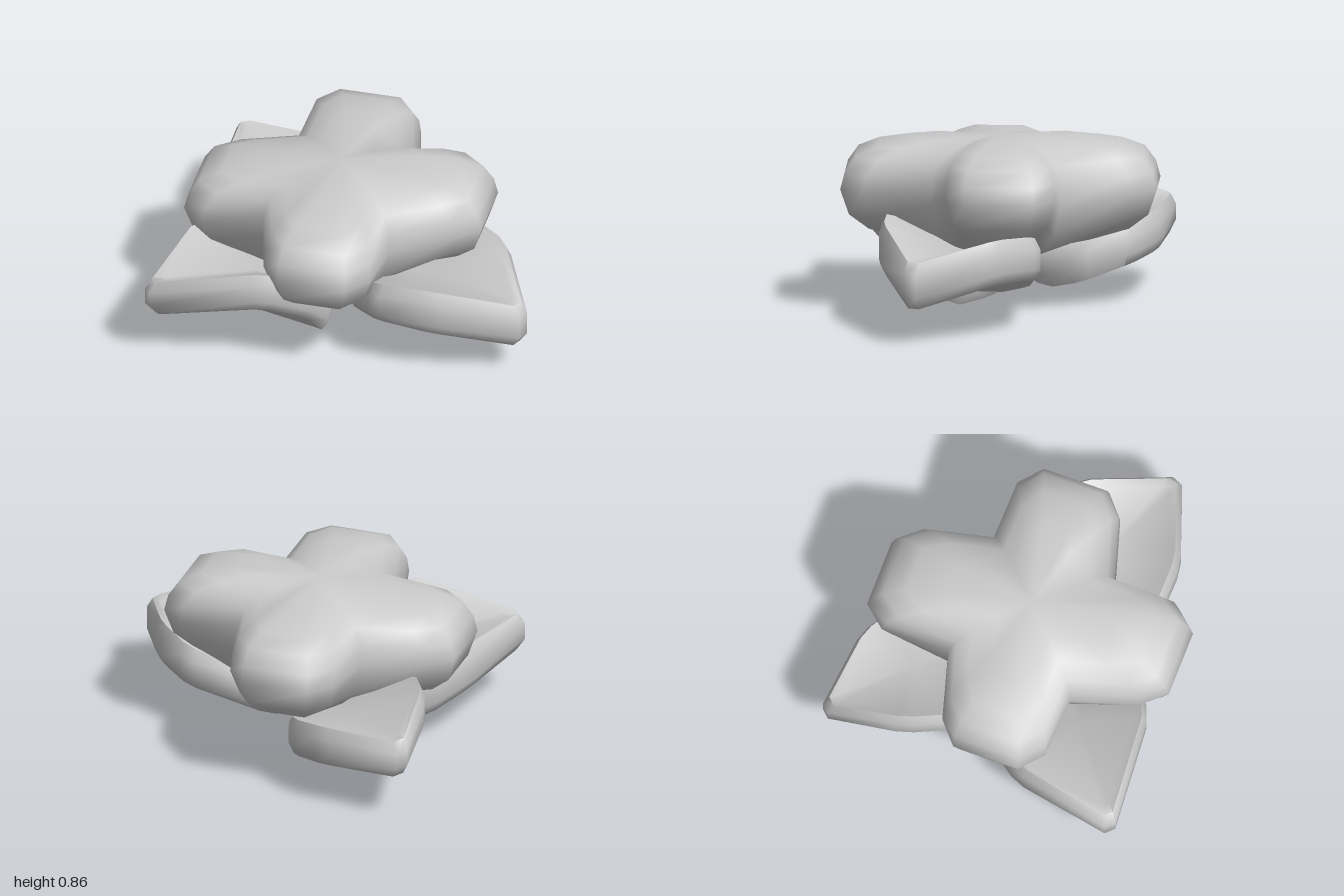
import * as THREE from 'three';
import { toCreasedNormals } from 'three/addons/utils/BufferGeometryUtils.js';

const material = new THREE.MeshStandardMaterial({ color: 0xcccccc });

// Closed solid skinned over stacked rings of [x, y, z], capped at two centres.
function loft(name, rings, bottom, top, crease) {
  const n = rings[0].length, last = (rings.length - 1) * n;
  const points = [...rings.flat(), bottom, top];
  const b = points.length - 2, t = points.length - 1, index = [];
  for (let j = 0; j < n; j++) {
    const k = (j + 1) % n;
    for (let r = 0; r < last; r += n) {
      index.push(r + j, r + n + j, r + k, r + k, r + n + j, r + n + k);
    }
    index.push(b, j, k, t, last + k, last + j);
  }
  const geometry = new THREE.BufferGeometry();
  geometry.setAttribute('position', new THREE.Float32BufferAttribute(points.flat(), 3));
  geometry.setIndex(index);
  const mesh = new THREE.Mesh(toCreasedNormals(geometry, crease), material);
  mesh.name = name;
  return mesh;
}

// Cuts each corner of an outline of [x, z, yBottom, yTop].
function chamfer(outline, size) {
  const n = outline.length;
  return outline.flatMap((p, i) => [outline[(i + n - 1) % n], outline[(i + 1) % n]].map((q) => {
    const f = size / Math.hypot(q[0] - p[0], q[1] - p[1]);
    return p.map((v, c) => v + (q[c] - v) * f);
  }));
}

// Thick cupped leaf with rounded rims; centre is [x, z, yBottom, yTop].
function leaf(name, outline, centre) {
  const edge = chamfer(outline, 0.045);
  const ring = (scale, y) => edge.map((p) => [
    centre[0] + (p[0] - centre[0]) * scale, y(p), centre[1] + (p[1] - centre[1]) * scale,
  ]);
  const rings = [
    ring(0.82, (p) => p[2] * 0.88 + centre[2] * 0.12),
    ring(0.92, (p) => p[2]),
    ring(1, (p) => p[2] + 0.055),
    ring(1, (p) => p[3] - 0.055),
    ring(0.93, (p) => p[3]),
    ring(0.83, (p) => p[3] * 0.88 + centre[3] * 0.12),
  ];
  return loft(name, rings, [centre[0], centre[2], centre[1]], [centre[0], centre[3], centre[1]], 1.15);
}

// Four-lobed bloom: cross-shaped rings, wide at the middle and tapering to a low centre.
function bloom() {
  const cx = 0.1, cz = -0.055, turn = -0.4;
  const lift = [0, 0.03, 0, -0.03]; // right, front, left, back lobes
  const stretch = [1.04, 0.98, 1.02, 0.99];
  // half width, lobe length, lobe height, height in the notch between lobes
  const levels = [
    [0.14, 0.42, 0.34, 0.26],
    [0.21, 0.6, 0.4, 0.3],
    [0.27, 0.69, 0.475, 0.38],
    [0.31, 0.73, 0.6, 0.55],
    [0.305, 0.71, 0.68, 0.66],
    [0.28, 0.66, 0.755, 0.74],
    [0.22, 0.56, 0.8, 0.785],
    [0.13, 0.4, 0.83, 0.82],
  ];
  const rings = levels.map(([w, len, y, notch]) => lift.flatMap((dy, i) => {
    const a = turn + i * Math.PI / 2, c = Math.cos(a), s = Math.sin(a);
    const tip = len * stretch[i], shoulder = tip - 0.11, skew = -0.05 * len;
    const lobe = [[w, -w, notch], [shoulder, skew - w * 0.84, y + dy], [tip, skew - w * 0.53, y + dy],
      [tip, skew + w * 0.53, y + dy], [shoulder, skew + w * 0.84, y + dy]];
    return lobe.map(([u, v, h]) => [cx + u * c - v * s, h, cz + u * s + v * c]);
  }));
  return loft('bloom', rings, [cx, 0.24, cz], [cx, 0.84, cz], 1.8);
}

export function createModel() {
  const group = new THREE.Group();
  group.name = 'flower';
  group.add(
    bloom(),
    leaf('frontLeaf', [
      [0.55, 0.41, 0.25, 0.46], [0.46, 0.67, 0.26, 0.48], [0.14, 1.03, 0.165, 0.39],
      [-0.18, 0.68, 0.27, 0.51], [-0.29, 0.41, 0.3, 0.51], [-0.03, 0.06, 0.12, 0.31],
      [0.13, 0.01, 0.085, 0.27], [0.34, 0.04, 0.14, 0.32],
    ], [0.14, 0.5, 0.18, 0.37]),
    leaf('leftLeaf', [
      [0.07, -0.29, 0.06, 0.26], [0.08, -0.07, 0.04, 0.23], [-0.1, 0.03, -0.01, 0.19],
      [-0.39, 0.13, 0.25, 0.46], [-0.61, 0.01, 0.37, 0.57], [-0.87, -0.52, 0.265, 0.45],
      [-0.34, -0.63, 0.25, 0.49], [-0.12, -0.56, 0.17, 0.42],
    ], [-0.36, -0.22, 0.16, 0.38]),
    leaf('backLeaf', [
      [0.7, -0.6, 0.23, 0.43], [0.67, -0.37, 0.2, 0.39], [0.46, -0.19, 0.12, 0.31],
      [0.24, -0.22, 0.07, 0.28], [0.1, -0.24, 0.13, 0.32], [0.05, -0.65, 0.29, 0.5],
      [0.2, -0.83, 0.32, 0.53], [0.57, -1.03, 0.245, 0.43],
    ], [0.4, -0.55, 0.19, 0.37]),
  );
  return group;
}
